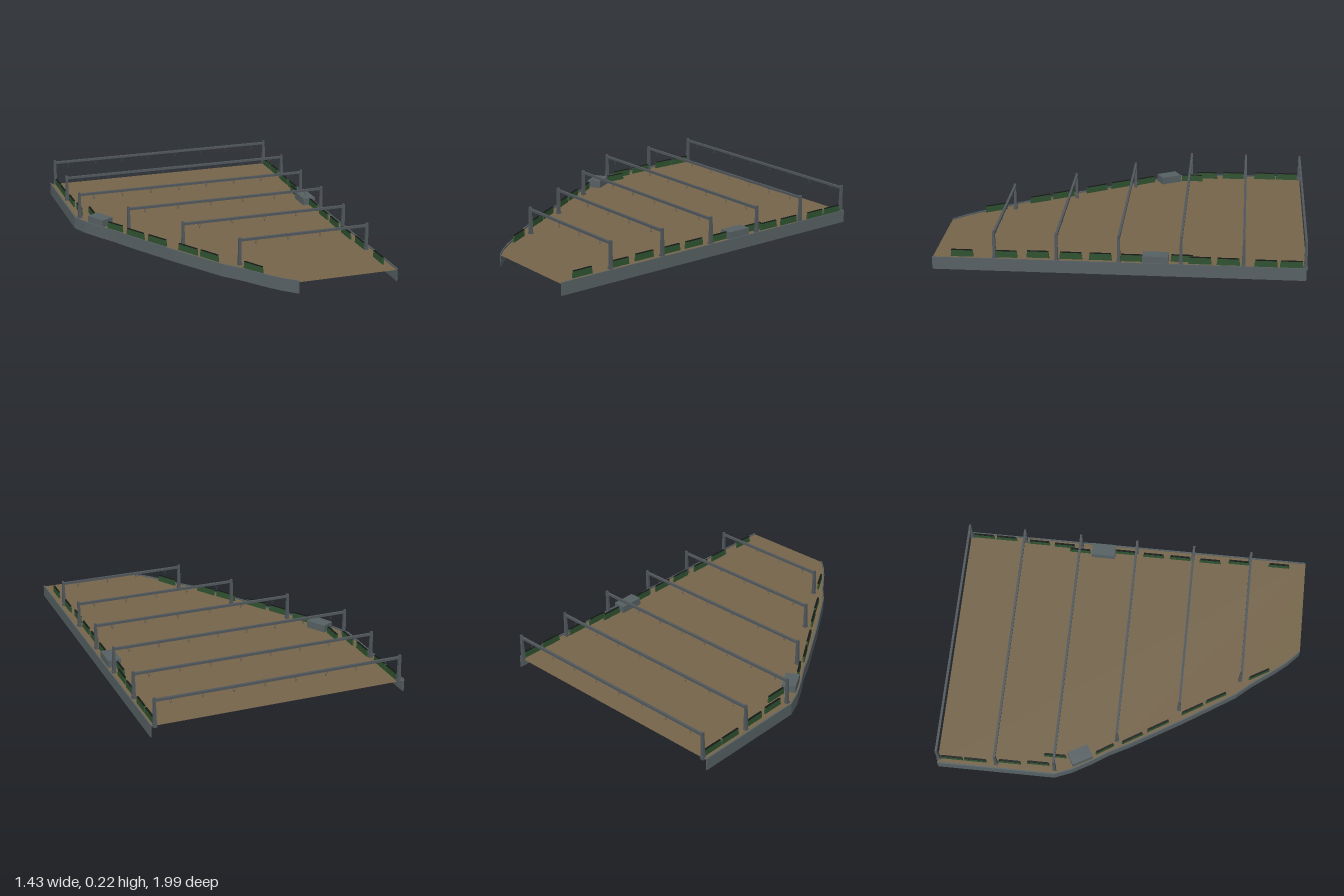
import * as THREE from 'three';

const mat = (name, color, side = THREE.FrontSide) => {
  const m = new THREE.MeshStandardMaterial({ color, side });
  m.name = name;
  return m;
};

export function createModel() {
  const root = new THREE.Group();
  root.name = 'deck';
  const brown = mat('deckBrown', 0x75644a, THREE.DoubleSide);
  const grey = mat('wallGrey', 0x566063);
  const steel = mat('steelGrey', 0x50575b);
  const green = mat('panelGreen', 0x2f5230);
  const black = mat('frameBlack', 0x141816);

  const add = (parent, name, geo, material, x = 0, y = 0, z = 0) => {
    const m = new THREE.Mesh(geo, material);
    m.name = name;
    m.position.set(x, y, z);
    parent.add(m);
    return m;
  };
  const box = (parent, name, material, w, h, d, x, y, z) =>
    add(parent, name, new THREE.BoxGeometry(w, h, d), material, x, y, z);
  // Shape given in plan as [x, z], laid flat
  const plan = (pts) => new THREE.Shape(pts.map(([x, z]) => new THREE.Vector2(x, -z)));

  // Plan outline: curved left edge and straight right edge
  const left = [[-0.718, -0.99], [-0.718, -0.33], [-0.68, -0.235], [-0.62, -0.13], [-0.555, -0.03],
    [-0.5, 0.075], [-0.33, 0.36], [-0.145, 0.65], [-0.066, 0.74], [0.03, 0.87], [0.085, 0.935], [0.152, 0.998]];
  const right = [[0.715, 0.998], [0.715, -0.99]];

  add(root, 'deckFloor', new THREE.ShapeGeometry(plan([...left, ...right])).rotateX(-Math.PI / 2), brown, 0, 0.062, 0);

  // Side walls, thin strips that follow the edges
  const wall = (name, edge, dx) => {
    const inner = edge.map(([x, z]) => [x + dx, z]).reverse();
    const geo = new THREE.ExtrudeGeometry(plan([...edge, ...inner]), { depth: 0.07, bevelEnabled: false });
    add(root, name, geo.rotateX(-Math.PI / 2), grey);
  };
  wall('leftWall', left, 0.008);
  wall('rightWall', right, -0.006);

  // Overhead gantries: two posts, a beam and hanging hooks
  const hookGeo = new THREE.CylinderGeometry(0.001, 0.001, 0.03, 4);
  const gantries = [[-0.985, -0.685, 0.69], [-0.66, -0.685, 0.69], [-0.33, -0.685, 0.69],
    [0, -0.48, 0.687], [0.333, -0.263, 0.685], [0.667, -0.052, 0.68]];
  for (const [z, x0, x1] of gantries) {
    const g = new THREE.Group();
    g.name = 'gantry';
    root.add(g);
    for (const x of [x0, x1]) {
      const post = new THREE.CylinderGeometry(0.009, 0.013, 0.163, 4).rotateY(Math.PI / 4).toNonIndexed();
      post.computeVertexNormals();
      add(g, 'post', post, steel, x, 0.1335, z);
      box(g, 'postFoot', steel, 0.022, 0.02, 0.022, x, 0.062, z);
    }
    box(g, 'beam', steel, x1 - x0, 0.013, 0.013, (x0 + x1) / 2, 0.201, z);
    const n = Math.round((x1 - x0) / 0.18);
    for (let i = 0; i < n; i++) {
      const x = x0 + ((i + 0.5) * (x1 - x0)) / n;
      for (const s of [-1, 1]) {
        add(g, 'hook', hookGeo, steel, x + s * 0.0045, 0.183, z).rotation.z = -s * 0.28;
      }
    }
  }

  // Low green panels with dark top rail and end caps; placed between two plan points
  const panelShape = (l) => {
    const h = l / 2;
    return new THREE.Shape([[-h, 0], [h, 0], [h - 0.006, 0.046], [-h + 0.006, 0.046]]
      .map(([x, y]) => new THREE.Vector2(x, y)));
  };
  const panel = (ax, az, bx, bz) => {
    const l = Math.hypot(bx - ax, bz - az);
    const g = new THREE.Group();
    g.name = 'edgePanel';
    g.position.set((ax + bx) / 2, 0.053, (az + bz) / 2);
    g.rotation.y = Math.atan2(-(bz - az), bx - ax);
    root.add(g);
    const geo = new THREE.ExtrudeGeometry(panelShape(l), { depth: 0.009, bevelEnabled: false });
    add(g, 'panelBoard', geo, green, 0, 0, -0.0045);
    box(g, 'panelRail', black, l - 0.012, 0.003, 0.01, 0, 0.0465, 0);
    for (const s of [-1, 1]) box(g, 'panelFoot', black, 0.012, 0.01, 0.012, s * (l / 2 - 0.008), 0.003, 0);
  };
  // Right side: [x, centre z], all of one length
  for (const [x, z] of [[0.69, -0.912], [0.69, -0.778], [0.682, -0.58], [0.678, -0.43], [0.655, -0.335],
    [0.67, -0.068], [0.666, 0.1], [0.666, 0.258], [0.663, 0.435], [0.672, 0.605], [0.675, 0.842]]) {
    panel(x, z - 0.063, x, z + 0.063);
  }
  // Left side: straight part, then following the slanted wall
  for (const [x, z] of [[-0.682, -0.912], [-0.682, -0.778], [-0.673, -0.585], [-0.665, -0.425], [-0.612, -0.335]]) {
    panel(x, z - 0.065, x, z + 0.065);
  }
  for (const p of [[-0.575, -0.11, -0.512, -0.01], [-0.5, 0.03, -0.43, 0.145], [-0.415, 0.165, -0.342, 0.285],
    [-0.295, 0.35, -0.222, 0.47], [-0.212, 0.48, -0.145, 0.595], [-0.045, 0.715, 0.022, 0.83]]) {
    panel(...p);
  }

  // Equipment cabinets
  box(root, 'rightCabinet', grey, 0.072, 0.048, 0.138, 0.665, 0.08, -0.195);
  box(root, 'leftCabinet', grey, 0.078, 0.048, 0.122, -0.597, 0.08, -0.195).rotation.y = 0.51;

  return root;
}
